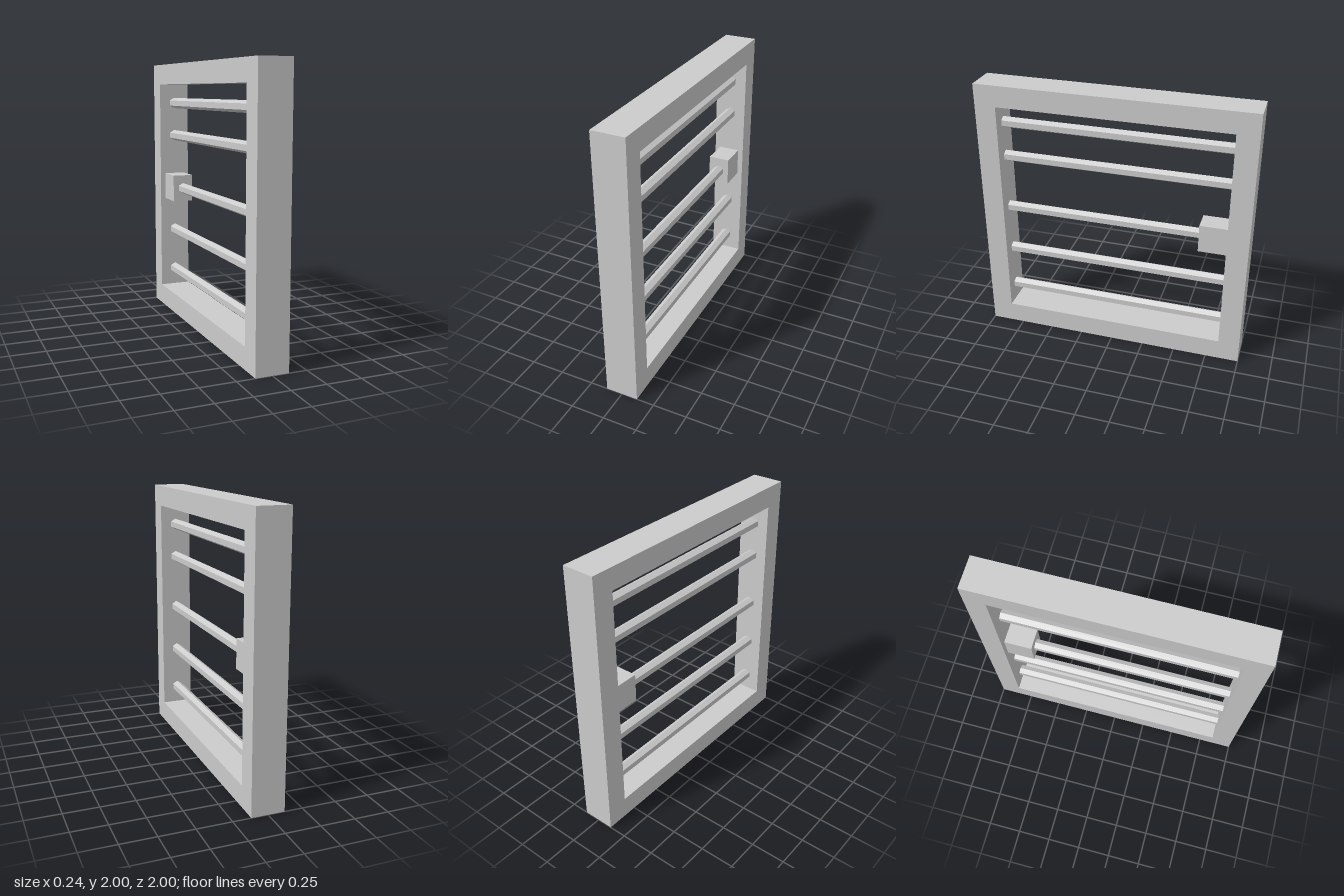
import * as THREE from 'three';

const BORDER = 0.157;          // width of the frame's border
const DEPTH = 0.24;            // frame thickness along x
const INNER = 1 - BORDER;      // half size of the opening

export function createModel() {
  const group = new THREE.Group();
  const material = new THREE.MeshStandardMaterial({ color: 0xcccccc, flatShading: true });

  const add = (name, geometry, x, y, z) => {
    const mesh = new THREE.Mesh(geometry, material);
    mesh.name = name;
    mesh.position.set(x, y, z);
    group.add(mesh);
  };

  const square = (h) => [[-h, -h], [h, -h], [h, h], [-h, h]].map(([x, y]) => new THREE.Vector2(x, y));

  // Square frame with an open middle
  const outline = new THREE.Shape(square(1));
  outline.holes.push(new THREE.Path(square(INNER).reverse()));
  const frame = new THREE.ExtrudeGeometry(outline, { depth: DEPTH, bevelEnabled: false });
  frame.translate(0, 0, -DEPTH / 2).rotateY(Math.PI / 2);
  add('frame', frame, 0, 1, 0);

  // Hexagonal crossbars, one edge pointing up, spanning the opening
  const bar = new THREE.CylinderGeometry(0.042, 0.042, INNER * 2, 6).rotateX(Math.PI / 2);
  [0.297, 0.635, 1.004, 1.426, 1.691].forEach((y, i) => add(`crossbar${i + 1}`, bar, 0, y, 0));

  // Block holding the back end of the middle bar
  const length = 0.207;
  add('barBlock', new THREE.BoxGeometry(0.16, 0.21, length), 0, 1.004, -INNER + length / 2);

  return group;
}
